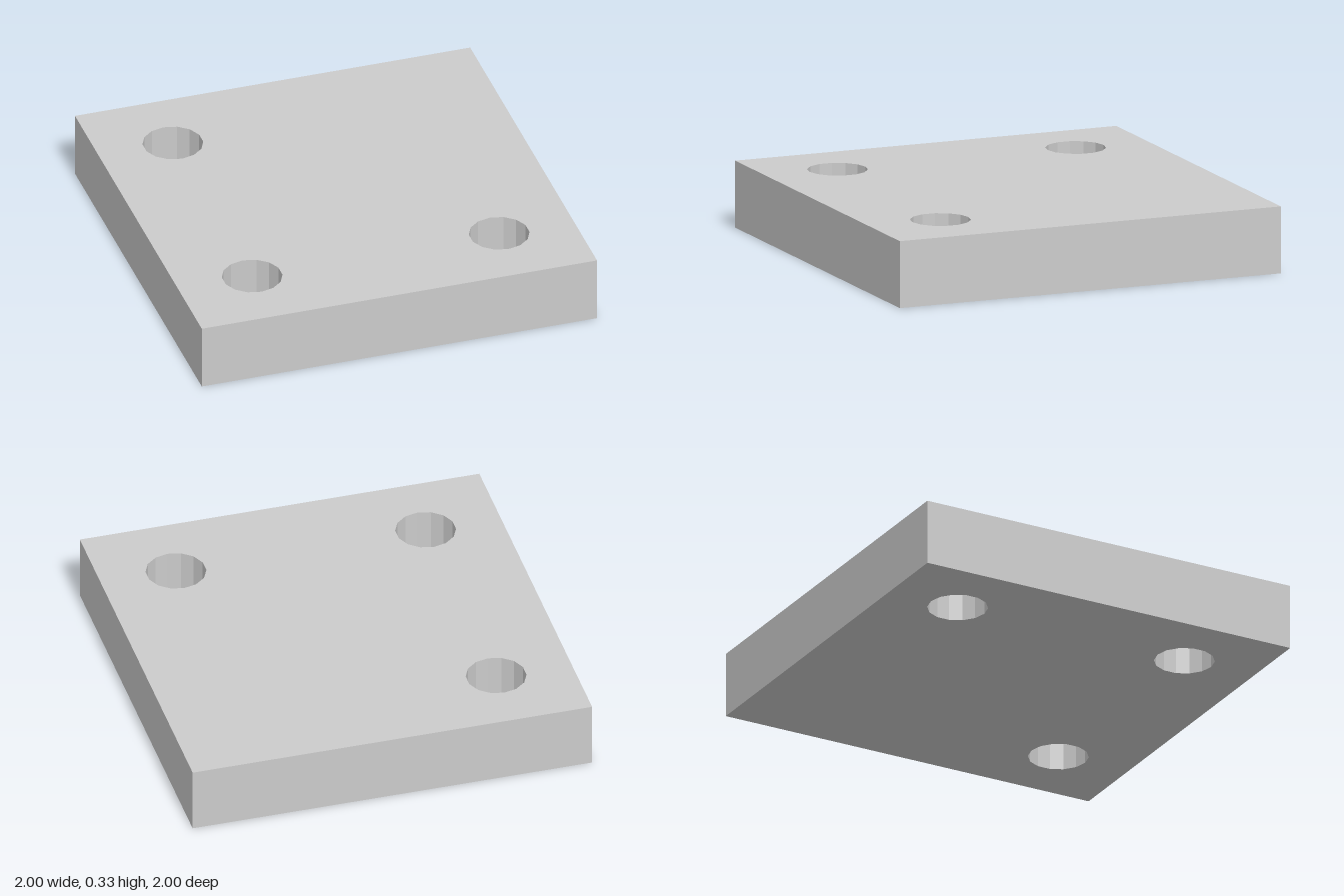
import * as THREE from 'three';

const HEIGHT = 0.33;
const HOLE_RADIUS = 0.147;
const HOLE_SIDES = 14;
const HOLE_OFFSET = 0.625;

// Faceted circular hole with a corner pointing to the back
function holePath(x, z) {
  const points = [];
  for (let i = 0; i < HOLE_SIDES; i++) {
    const a = Math.PI / 2 - (i / HOLE_SIDES) * Math.PI * 2;
    points.push(new THREE.Vector2(x + HOLE_RADIUS * Math.cos(a), -z + HOLE_RADIUS * Math.sin(a)));
  }
  return new THREE.Path(points);
}

export function createModel() {
  const group = new THREE.Group();
  group.name = 'drilledPlate';

  // Square outline with through holes in three of the four corners
  const outline = new THREE.Shape([
    new THREE.Vector2(-1, -1),
    new THREE.Vector2(1, -1),
    new THREE.Vector2(1, 1),
    new THREE.Vector2(-1, 1),
  ]);
  for (const [sx, sz] of [[-1, -1], [-1, 1], [1, 1]]) {
    outline.holes.push(holePath(sx * HOLE_OFFSET, sz * HOLE_OFFSET));
  }

  // Lay the extrusion flat so its thickness runs upward from the ground
  const geometry = new THREE.ExtrudeGeometry(outline, { depth: HEIGHT, bevelEnabled: false });
  geometry.rotateX(-Math.PI / 2);

  const material = new THREE.MeshStandardMaterial({ color: 0xcccccc, flatShading: true });
  const plate = new THREE.Mesh(geometry, material);
  plate.name = 'plate';
  group.add(plate);
  return group;
}
